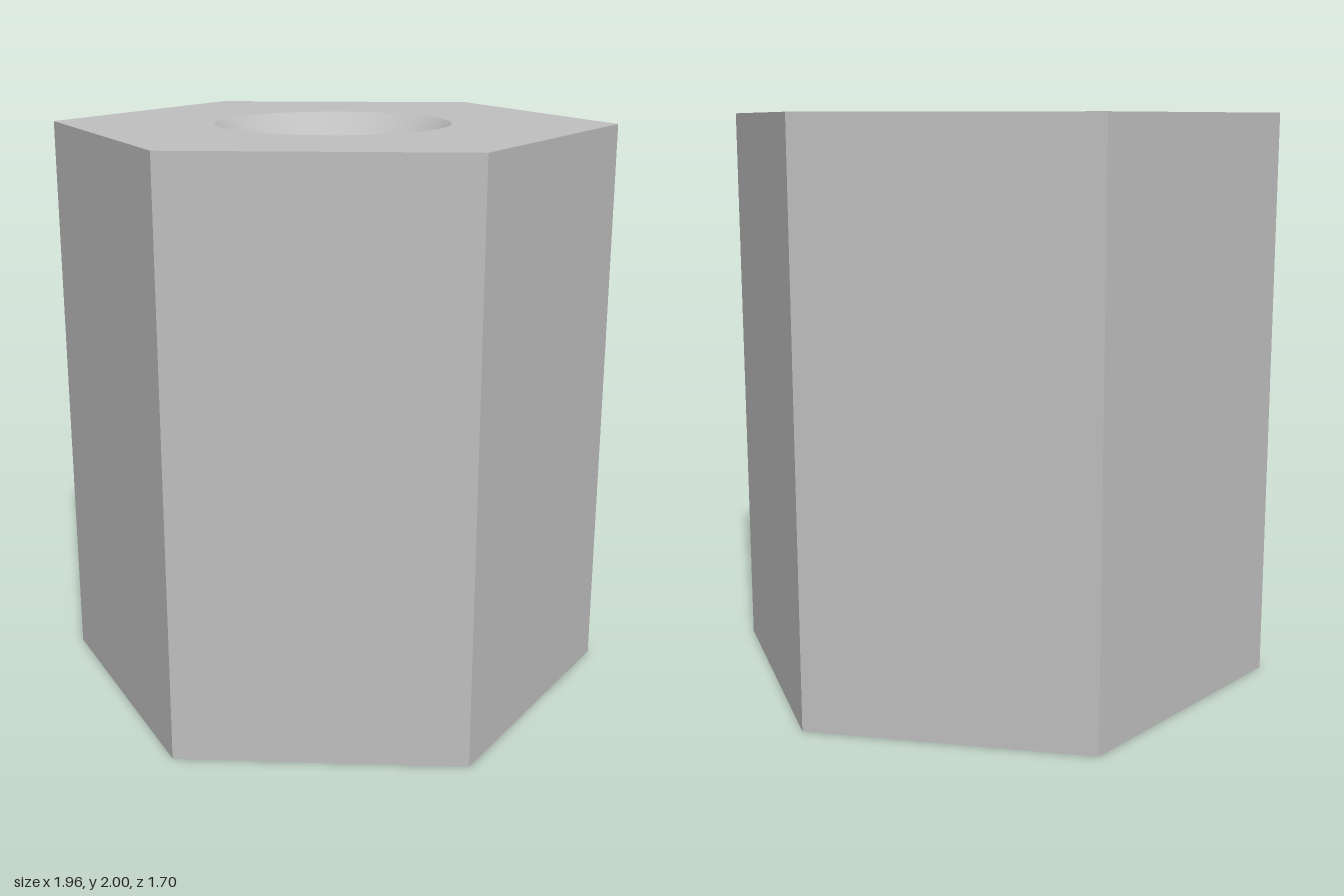
import * as THREE from 'three';
import { mergeGeometries } from 'three/addons/utils/BufferGeometryUtils.js';

const R = 0.98, H = 2;             // hexagon corner radius and height
const SEG = 64;
const BORE_R = 0.33, HOLE_R = 0.125, ROOT_R = 0.41, CREST_R = 0.36;
const WEB_TOP = 1.15, WEB_BOTTOM = 0.85, THREAD_START = 0.11, PITCH = 0.14;

// One sharp-edged lathe strip per profile segment; profiles run top to bottom to face inward
function strips(profile) {
  return profile.slice(1).map((p, i) => new THREE.LatheGeometry(
    [new THREE.Vector2(...profile[i]), new THREE.Vector2(...p)], SEG));
}

// Hexagonal face with a round opening
function endFace(holeRadius) {
  const shape = new THREE.Shape();
  for (let i = 0; i < 6; i++) {
    const a = i * Math.PI / 3;
    shape[i ? 'lineTo' : 'moveTo'](R * Math.cos(a), R * Math.sin(a));
  }
  shape.closePath();
  shape.holes.push(new THREE.Path().absarc(0, 0, holeRadius, 0, Math.PI * 2, true));
  return new THREE.ShapeGeometry(shape, SEG / 2);
}

// Internal screw thread: strips sheared into a helix and trimmed to the hole
function threadGeometry() {
  const profile = [];
  for (let y = WEB_BOTTOM + PITCH; y > THREAD_START - 2 * PITCH; y -= PITCH) {
    profile.push([ROOT_R, y], [CREST_R, y - 0.04], [CREST_R, y - 0.1]);
  }
  profile.push([ROOT_R, THREAD_START - 2 * PITCH]);
  const parts = strips(profile);
  for (const g of parts) {
    const pos = g.attributes.position, uv = g.attributes.uv;
    for (let i = 0; i < pos.count; i++) {
      const y = pos.getY(i) + PITCH * uv.getX(i);
      pos.setY(i, THREE.MathUtils.clamp(y, THREAD_START, WEB_BOTTOM));
    }
    g.computeVertexNormals();
  }
  return mergeGeometries(parts);
}

export function createModel() {
  const group = new THREE.Group();
  group.name = 'hexStandoff';
  const steel = new THREE.MeshStandardMaterial({ color: 0xbfbfbf });
  steel.name = 'steel';
  const add = (name, geometry) => {
    const mesh = new THREE.Mesh(geometry, steel);
    mesh.name = name;
    group.add(mesh);
    return mesh;
  };

  // Six flat sides
  const sides = new THREE.CylinderGeometry(R, R, H, 6, 1, true).toNonIndexed();
  sides.computeVertexNormals();
  sides.rotateY(Math.PI / 6).translate(0, H / 2, 0);
  add('hexSides', sides);

  // End faces
  add('topFace', endFace(0.41).rotateX(-Math.PI / 2).translate(0, H, 0));
  add('bottomFace', endFace(0.52).rotateX(Math.PI / 2));

  // Upper counterbore, through hole and web
  add('upperBore', mergeGeometries(strips([
    [0.41, H], [BORE_R, 1.92], [BORE_R, WEB_TOP], [HOLE_R, WEB_TOP],
    [HOLE_R, WEB_BOTTOM], [ROOT_R, WEB_BOTTOM],
  ])));

  // Lower threaded hole
  add('bottomChamfer', strips([[ROOT_R, THREAD_START], [0.52, 0]])[0]);
  add('thread', threadGeometry());

  return group;
}
